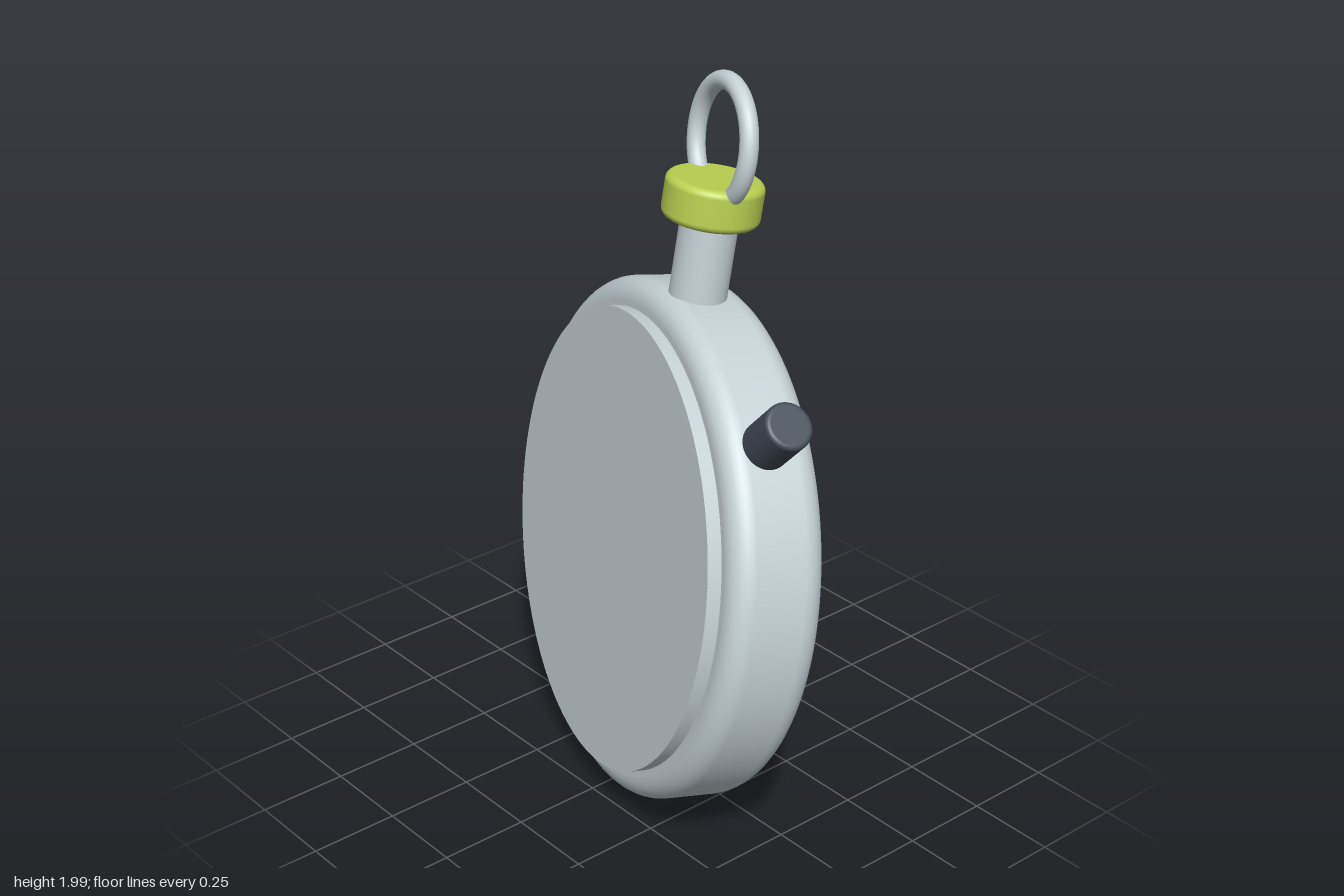
import * as THREE from 'three';

const material = (name, color) => {
  const m = new THREE.MeshStandardMaterial({ color });
  m.name = name;
  return m;
};

// Points of a rounded convex corner, centred on (cx, cy)
function corner(cx, cy, radius, from, to, steps = 8) {
  const pts = [];
  for (let i = 0; i <= steps; i++) {
    const a = from + ((to - from) * i) / steps;
    pts.push(new THREE.Vector2(cx + radius * Math.cos(a), cy + radius * Math.sin(a)));
  }
  return pts;
}

// Solid disc along y with separately rounded bottom and top edges
function roundedDisc(radius, bottom, top, bottomRound, topRound, segments = 64) {
  const flat = 0.002; // short flat run keeps the end faces shading flat
  const profile = [
    new THREE.Vector2(0, bottom),
    new THREE.Vector2(radius - bottomRound - flat, bottom),
    ...corner(radius - bottomRound, bottom + bottomRound, bottomRound, -Math.PI / 2, 0),
    ...corner(radius - topRound, top - topRound, topRound, 0, Math.PI / 2),
    new THREE.Vector2(radius - topRound - flat, top),
    new THREE.Vector2(0, top),
  ];
  return new THREE.LatheGeometry(profile, segments);
}

export function createModel() {
  const silver = material('silver', 0xc5d1d6);
  const navy = material('navy', 0x0b0b20);
  const lime = material('lime', 0xbbd052);
  const slate = material('slate', 0x434c58);

  const watch = new THREE.Group();
  watch.name = 'stopwatch';
  const add = (name, geometry, mat) => {
    const mesh = new THREE.Mesh(geometry, mat);
    mesh.name = name;
    watch.add(mesh);
    return mesh;
  };

  // Round case, its axis turned to face forward
  add('case', roundedDisc(0.705, -0.15, 0.115, 0.07, 0.06, 128).rotateX(Math.PI / 2), silver);

  // Raised disc on the front
  add('frontDisc', new THREE.CylinderGeometry(0.625, 0.625, 0.052, 128)
    .rotateX(Math.PI / 2).translate(0, 0, 0.127), silver);

  // Thin dark disc on the back
  add('backDisc', new THREE.CylinderGeometry(0.612, 0.612, 0.006, 128)
    .rotateX(Math.PI / 2).translate(0, 0, -0.151), navy);

  // Stem, crown and ring
  add('stem', new THREE.CylinderGeometry(0.077, 0.077, 0.3, 48).translate(0, 0.8, 0), silver);
  add('crown', roundedDisc(0.13, 0.91, 1.023, 0.02, 0.02), lime);
  add('ring', new THREE.TorusGeometry(0.155, 0.025, 20, 72).translate(0, 1.12, 0), silver);

  // Side button, set at 45 degrees
  const button = add('sideButton', roundedDisc(0.064, 0.66, 0.847, 0.01, 0.012, 40), slate);
  button.rotation.z = -Math.PI / 4;

  // Whole watch leans back and turns to its right
  watch.rotation.set(-0.155, -0.305, 0, 'YXZ');
  watch.position.set(-0.007, 0.715, 0);

  const model = new THREE.Group();
  model.add(watch);
  return model;
}
